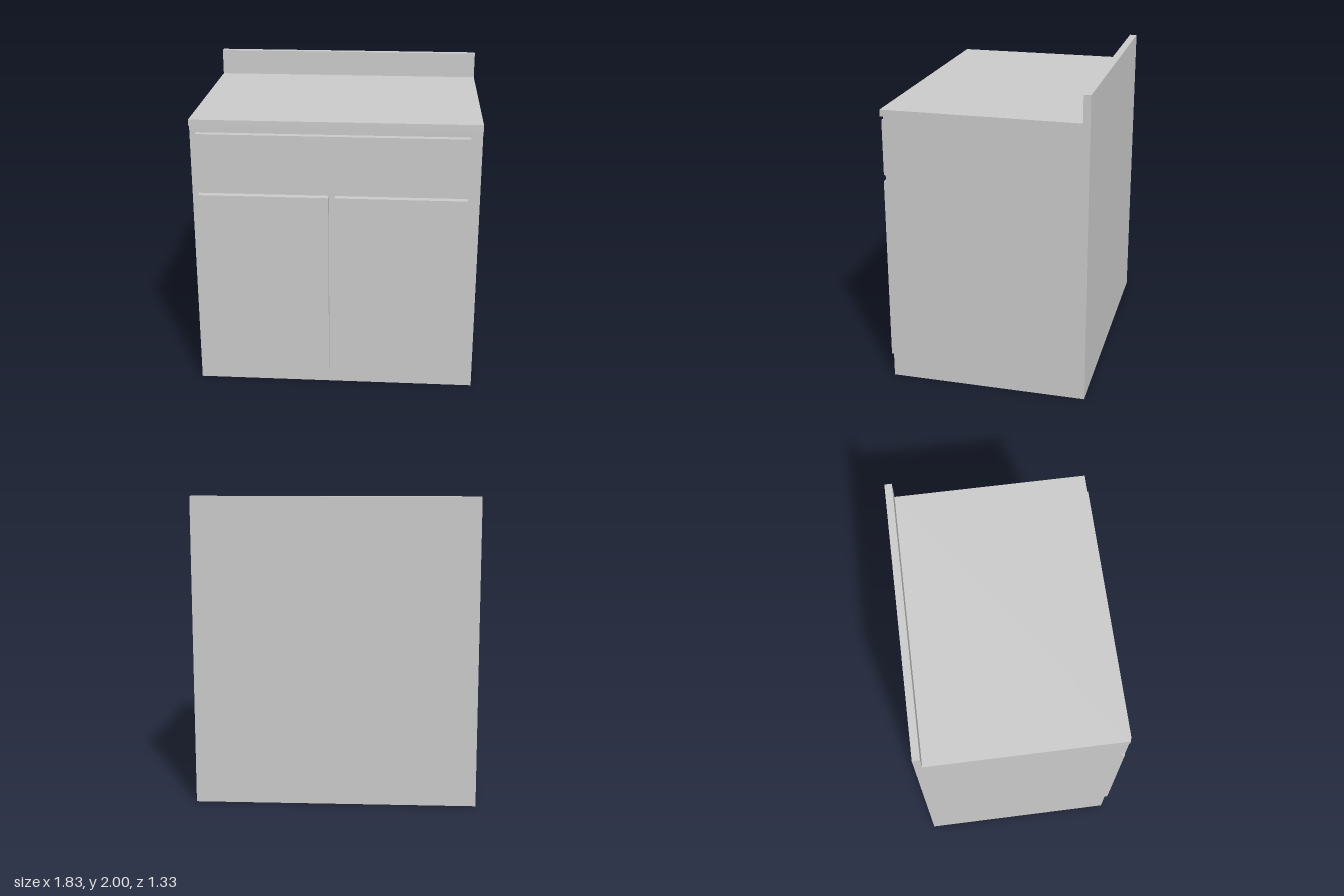
import * as THREE from 'three';

const material = new THREE.MeshStandardMaterial({ color: 0xcccccc, flatShading: true });

// Box given by its min and max on each axis
function panel(name, [x0, x1], [y0, y1], [z0, z1]) {
  const mesh = new THREE.Mesh(new THREE.BoxGeometry(x1 - x0, y1 - y0, z1 - z0), material);
  mesh.position.set((x0 + x1) / 2, (y0 + y1) / 2, (z0 + z1) / 2);
  mesh.name = name;
  return mesh;
}

export function createModel() {
  const group = new THREE.Group();
  group.name = 'baseCabinet';

  const halfWidth = 0.915;
  const back = -0.665, front = 0.62;

  // Side profile (z, y): carcass, overhanging worktop and backsplash in one piece
  const profile = new THREE.Shape([
    [back, 0], [front, 0], [front, 1.785], [0.641, 1.785],
    [0.641, 1.828], [-0.617, 1.828], [-0.617, 2], [back, 2],
  ].map(([z, y]) => new THREE.Vector2(z, y)));
  const bodyGeometry = new THREE.ExtrudeGeometry(profile, { depth: 2 * halfWidth, bevelEnabled: false });
  bodyGeometry.translate(0, 0, -halfWidth);
  bodyGeometry.rotateY(-Math.PI / 2); // profile z axis to +z, width along x
  const body = new THREE.Mesh(bodyGeometry, material);
  body.name = 'carcassWithWorktopAndBacksplash';
  group.add(body);

  // Drawer front and the two doors below it
  group.add(
    panel('drawerFront', [-0.873, 0.841], [1.38, 1.741], [front, 0.662]),
    panel('rightDoor', [-0.873, -0.04], [0.11, 1.338], [front, 0.666]),
    panel('leftDoor', [0, 0.837], [0.11, 1.338], [front, 0.666]),
  );
  return group;
}
